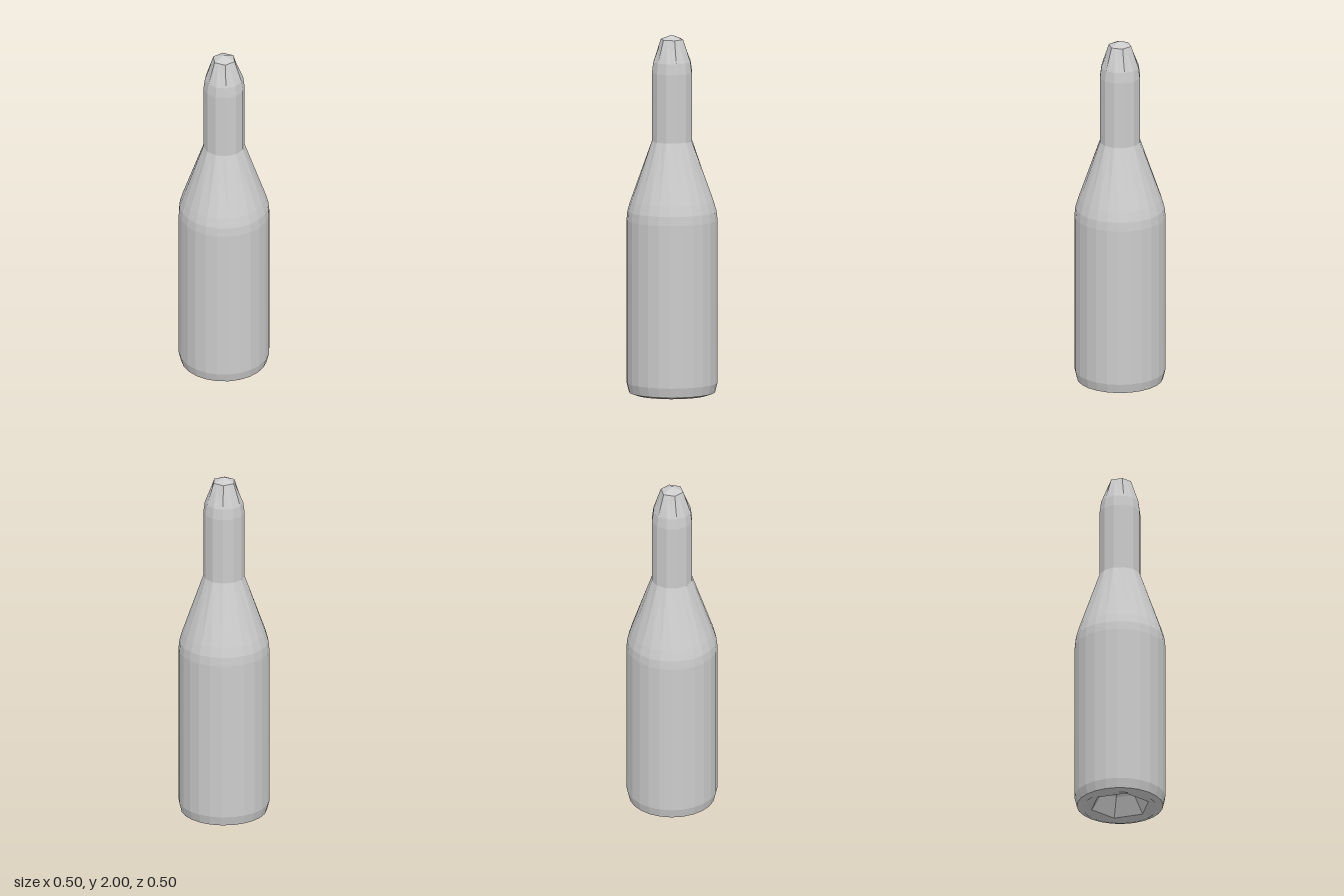
import * as THREE from 'three';

const SEGMENTS = 24;
const material = new THREE.MeshStandardMaterial({ color: 0xcccccc, flatShading: true });

// Turned section from [radius, height, sides] rings; rings with fewer sides
// have their extra points pulled onto the straight edges of that polygon.
function turned(name, rings) {
  const points = rings.map(([r, y]) => new THREE.Vector2(r, y));
  const geometry = new THREE.LatheGeometry(points, SEGMENTS);
  const pos = geometry.attributes.position;
  for (let i = 0; i < pos.count; i++) {
    const sides = rings[i % rings.length][2] ?? SEGMENTS;
    const step = Math.floor(i / rings.length) % (SEGMENTS / sides);
    const half = Math.PI / sides;
    const k = Math.cos(half) / Math.cos((step * 2 * Math.PI) / SEGMENTS - half);
    pos.setX(i, pos.getX(i) * k);
    pos.setZ(i, pos.getZ(i) * k);
  }
  geometry.computeVertexNormals();
  const mesh = new THREE.Mesh(geometry, material);
  mesh.name = name;
  return mesh;
}

export function createModel() {
  const bottle = new THREE.Group();
  bottle.name = 'bottle';

  // Hollow underside and chamfered foot
  bottle.add(turned('base', [
    [0, 0.17], [0.06, 0.16, 6], [0.105, 0.11, 6], [0.165, 0.012, 6],
    [0.205, 0], [0.238, 0.012], [0.251, 0.065],
  ]));

  // Straight body
  bottle.add(turned('body', [[0.251, 0.065], [0.251, 0.97]]));

  // Rounded shoulder tapering to the neck
  bottle.add(turned('shoulder', [
    [0.251, 0.97], [0.246, 1.02], [0.23, 1.075], [0.114, 1.41, 12],
  ]));

  // Slim neck
  bottle.add(turned('neck', [[0.114, 1.41, 12], [0.114, 1.79, 12]]));

  // Faceted tip with a shallow six-sided cap
  bottle.add(turned('tip', [
    [0.114, 1.79, 12], [0.106, 1.85, 12], [0.064, 1.975, 6], [0, 2],
  ]));

  return bottle;
}
